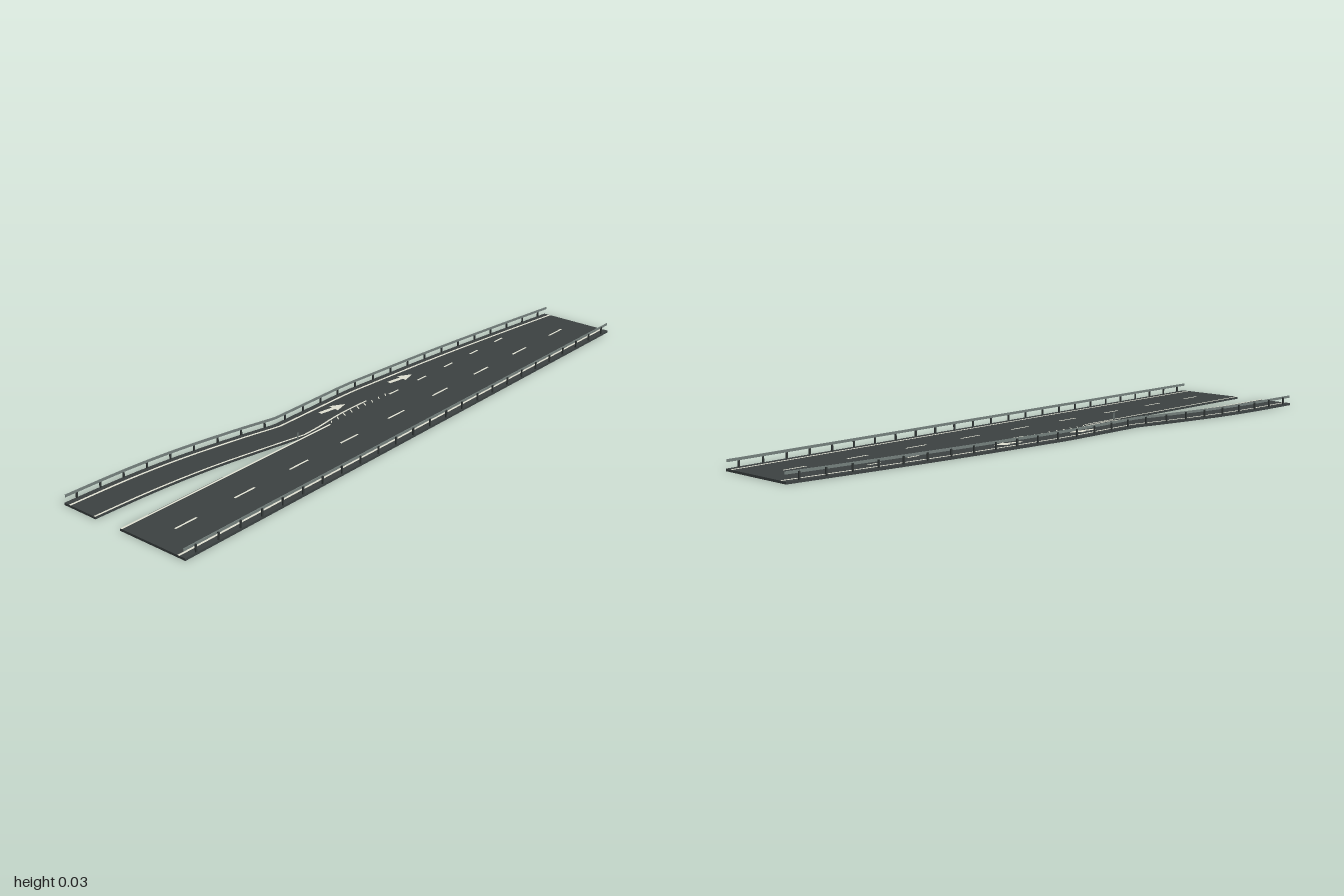
import * as THREE from 'three';

const mat = (name, color) => {
  const m = new THREE.MeshStandardMaterial({ color });
  m.name = name;
  return m;
};

// Smooth plan curve through [x, z] points
const curve = (pts, n = 16) =>
  new THREE.SplineCurve(pts.map(([x, z]) => new THREE.Vector2(x, z))).getPoints(n).map(p => [p.x, p.y]);

export function createModel() {
  const asphalt = mat('asphalt', 0x3b4141);
  const railSteel = mat('railSteel', 0x737e7b);
  const postSteel = mat('postSteel', 0x323837);
  const paint = mat('roadPaint', 0xdedecf);
  const model = new THREE.Group();
  model.name = 'motorwayOnRamp';
  const DECK = 0.007;

  // Extrudes a plan outline of [x, z] points upwards from y
  function plate(name, pts, y, h, material, parent) {
    const shape = new THREE.Shape(pts.map(([x, z]) => new THREE.Vector2(x, -z)));
    const geo = new THREE.ExtrudeGeometry(shape, { depth: h, bevelEnabled: false });
    geo.rotateX(-Math.PI / 2).translate(0, y, 0);
    const mesh = new THREE.Mesh(geo, material);
    mesh.name = name;
    parent.add(mesh);
    return mesh;
  }
  // Strip of constant width following a path that runs along z
  const strip = (path, dx, w) => [
    ...path.map(([x, z]) => [x + dx - w / 2, z]),
    ...path.map(([x, z]) => [x + dx + w / 2, z]).reverse(),
  ];
  const paintPlate = (name, pts) => plate(name, pts, DECK, 0.0004, paint, markings);
  const line = (name, path, dx = 0, w = 0.006) => paintPlate(name, strip(path, dx, w));

  // Plan edges, from the far end (z = -1) to the near end (z = 1)
  const outer = [
    ...curve([[-0.028, -1], [-0.068, -0.7], [-0.103, -0.4], [-0.133, -0.06]]),
    ...curve([[-0.135, 0], [-0.135, 0.28]], 2),
    ...curve([[-0.138, 0.3], [-0.168, 0.43], [-0.203, 0.62], [-0.222, 0.8], [-0.23, 1]]),
  ];
  const inner = curve([[-0.014, 0.28], [-0.038, 0.4], [-0.075, 0.6], [-0.097, 0.8], [-0.106, 1]]);
  const right = [[0.23, -1], [0.23, 1]];

  // Road deck: main carriageway and ramp in one slab
  const deckOutline = [...outer, ...inner.slice().reverse(), [-0.01, 0.28], [-0.01, 1], [0.23, 1], [0.23, -1]];
  plate('roadDeck', deckOutline, 0, DECK, asphalt, model);

  // Painted lines
  const markings = new THREE.Group();
  markings.name = 'roadMarkings';
  model.add(markings);
  line('rightEdgeLine', right, -0.024, 0.007);
  line('rampOuterLine', outer, 0.022, 0.007);
  line('rampInnerLine', inner, -0.004);
  line('mainInnerLine', [[-0.006, 0.18], [-0.006, 1]]);
  line('goreLine', curve([[-0.033, -0.02], [-0.034, 0.06], [-0.031, 0.13], [-0.022, 0.21], [-0.018, 0.28]]));
  for (let i = 0; i < 9; i++) {
    const z = (i - 4) * 0.218;
    line('laneDash', [[0.1, z - 0.039], [0.1, z + 0.039]]);
  }
  for (let i = 0; i < 5; i++) {
    const z = -0.69 + i * 0.141;
    line('mergeDash', [[-0.01, z - 0.022], [-0.01, z + 0.022]]);
  }
  // Slanted hatching in the merge area
  for (let i = 0; i < 9; i++) {
    const z = -0.095 + i * 0.032;
    const x = z < 0 ? -0.024 : -0.029 + Math.max(0, z - 0.1) * 0.12;
    paintPlate('goreHatch', [[x, z - 0.005], [-0.011, z + 0.006], [-0.011, z + 0.01], [x, z - 0.001]]);
  }
  // Lane arrows pointing towards -z
  const arrow = [[-0.007, 0.05], [-0.007, -0.004], [-0.02, -0.004], [0, -0.05], [0.02, -0.004], [0.007, -0.004], [0.007, 0.05]];
  for (const [x, z] of [[-0.075, 0.09], [-0.06, -0.222]]) {
    const a = paintPlate('laneArrow', arrow);
    a.position.set(x, 0, z);
    a.rotation.y = -0.16;
  }

  // Guardrails: thin beam on posts along both outside edges
  const xAt = (path, z) => {
    const i = Math.max(1, path.findIndex(p => p[1] >= z));
    const [a, b] = [path[i - 1], path[i]];
    return a[0] + ((b[0] - a[0]) * (z - a[1])) / (b[1] - a[1]);
  };
  function guardrail(name, path, inward) {
    const g = new THREE.Group();
    g.name = name;
    model.add(g);
    plate('railBeam', strip(path, inward * 0.0055, 0.002), 0.025, 0.008, railSteel, g);
    const geo = new THREE.BoxGeometry(0.004, 0.03, 0.005).translate(0, 0.015, 0);
    for (let i = -12; i <= 12; i++) {
      const z = i * 0.08;
      const post = new THREE.Mesh(geo, postSteel);
      post.name = 'railPost';
      post.position.set(xAt(path, z) + inward * 0.0025, 0, z);
      g.add(post);
    }
  }
  guardrail('rampGuardrail', outer, 1);
  guardrail('mainGuardrail', right, -1);

  // Slim marker post at the nose between ramp and main road
  const marker = new THREE.Mesh(new THREE.BoxGeometry(0.002, 0.03, 0.004).translate(0, 0.015, 0), railSteel);
  marker.name = 'noseMarkerPost';
  marker.position.set(-0.009, 0, 0.32);
  model.add(marker);

  return model;
}
